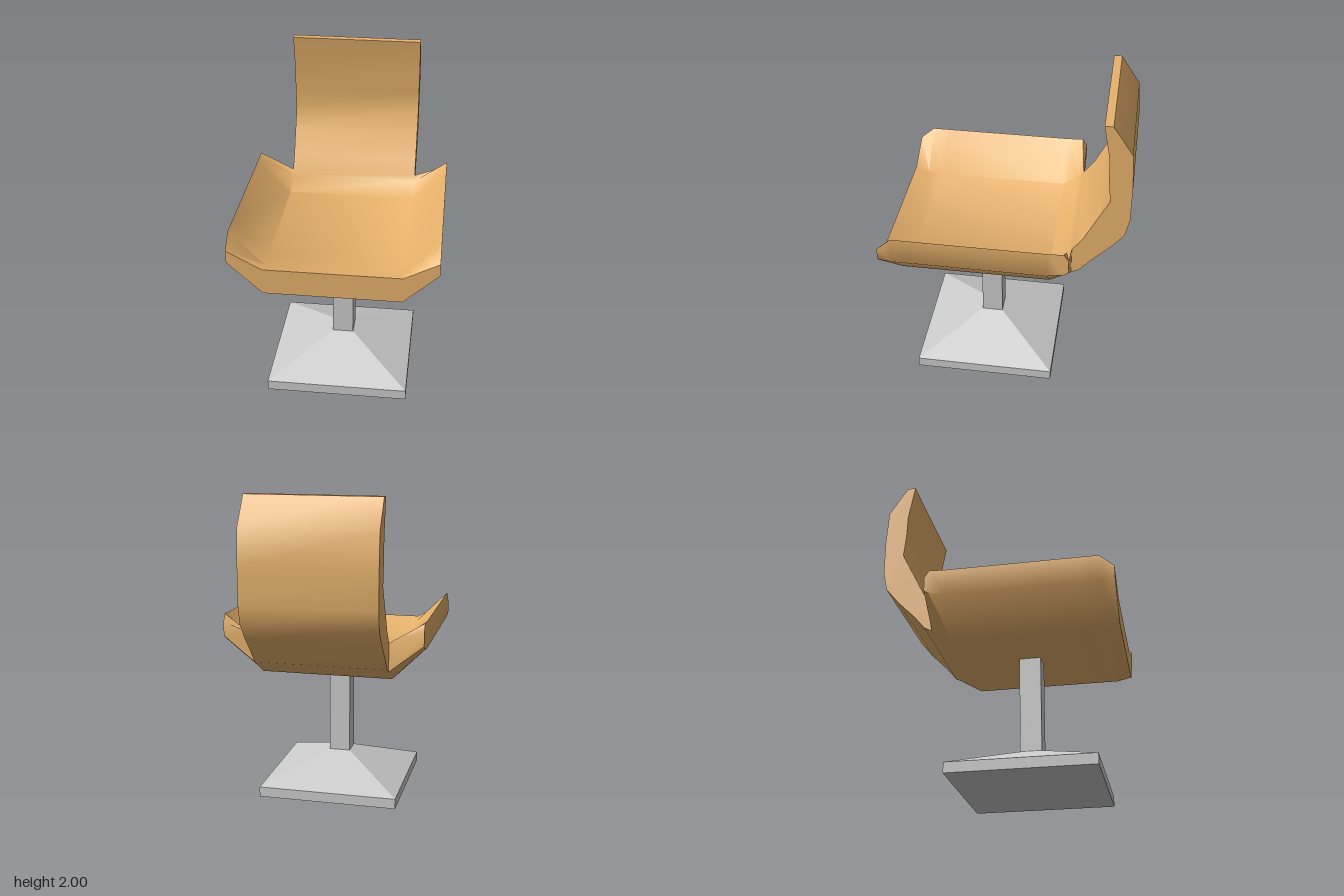
import * as THREE from 'three';
import { mergeGeometries, toCreasedNormals } from 'three/addons/utils/BufferGeometryUtils.js';

const HALF = 0.417;   // half width of seat and back
const WING = 0.63;    // half width over the side wings
const BASE_Z = 0.145; // pedestal centre

// Seat with flared wings: cross-sections lofted from front to rear
function seatGeometry() {
  // z, inner top, outer top, outer bottom, inner bottom
  const stations = [
    [0.75, 1.035, 1.15, 1.07, 0.87],
    [0.66, 1.015, 1.23, 1.06, 0.85],
    [0.56, 1.0, 1.23, 1.06, 0.85],
    [-0.28, 1.0, 1.23, 1.06, 0.85],
    [-0.38, 1.08, 1.235, 1.08, 0.91],
    [-0.41, 1.11, 1.19, 1.1, 0.93],
  ];
  const rings = stations.map(([z, it, ot, ob, ib]) => [
    [-WING, ot, z], [-HALF, it, z], [HALF, it, z], [WING, ot, z],
    [WING, ob, z], [HALF, ib, z], [-HALF, ib, z], [-WING, ob, z],
  ]);
  const pos = [];
  const quad = (a, b, c, d) => pos.push(...a, ...b, ...c, ...a, ...c, ...d);
  for (let s = 0; s < rings.length - 1; s++) {
    const a = rings[s], b = rings[s + 1];
    for (let i = 0; i < 8; i++) {
      const j = (i + 1) % 8;
      quad(a[i], a[j], b[j], b[i]);
    }
  }
  // End caps: wing, middle, wing
  const front = rings[0], rear = rings[rings.length - 1];
  for (const [a, b, c, d] of [[0, 1, 6, 7], [1, 2, 5, 6], [2, 3, 4, 5]]) {
    quad(front[d], front[c], front[b], front[a]);
    quad(rear[a], rear[b], rear[c], rear[d]);
  }
  const geo = new THREE.BufferGeometry();
  geo.setAttribute('position', new THREE.Float32BufferAttribute(pos, 3));
  return geo;
}

// Curved back: side profile (z, y) extruded across the width
function backGeometry() {
  const profile = [
    [-0.41, 0.93], [-0.46, 0.955], [-0.53, 1.04], [-0.63, 1.14], [-0.72, 1.25],
    [-0.745, 1.37], [-0.745, 1.6], [-0.73, 1.82], [-0.61, 2.0], [-0.56, 2.0],
    [-0.6, 1.78], [-0.605, 1.63], [-0.62, 1.49], [-0.545, 1.34],
    [-0.475, 1.2], [-0.41, 1.11],
  ];
  const shape = new THREE.Shape(profile.map(([z, y]) => new THREE.Vector2(z, y)));
  const geo = new THREE.ExtrudeGeometry(shape, { depth: HALF * 2, bevelEnabled: false });
  geo.translate(0, 0, -HALF).rotateY(-Math.PI / 2);
  geo.deleteAttribute('uv');
  geo.deleteAttribute('normal');
  return geo;
}

export function createModel() {
  const model = new THREE.Group();
  model.name = 'swivelChair';
  const leather = new THREE.MeshStandardMaterial({ color: 0xe8b26c });
  const metal = new THREE.MeshStandardMaterial({ color: 0xcccccc, flatShading: true });

  const add = (name, geo, mat, y = 0, z = 0) => {
    const mesh = new THREE.Mesh(geo, mat);
    mesh.name = name;
    mesh.position.set(0, y, z);
    model.add(mesh);
  };

  // Upholstered shell, seat and back shaded as one piece
  const shell = mergeGeometries([seatGeometry(), backGeometry()]);
  add('seatShell', toCreasedNormals(shell, 0.9), leather);

  // Pedestal
  add('baseSlab', new THREE.BoxGeometry(0.9, 0.066, 0.9), metal, 0.033, BASE_Z);
  const taper = new THREE.CylinderGeometry(0.068 * Math.SQRT2, 0.45 * Math.SQRT2, 0.164, 4);
  add('baseTaper', taper.rotateY(Math.PI / 4), metal, 0.148, BASE_Z);
  add('column', new THREE.BoxGeometry(0.136, 0.64, 0.136), metal, 0.55, BASE_Z);

  return model;
}
